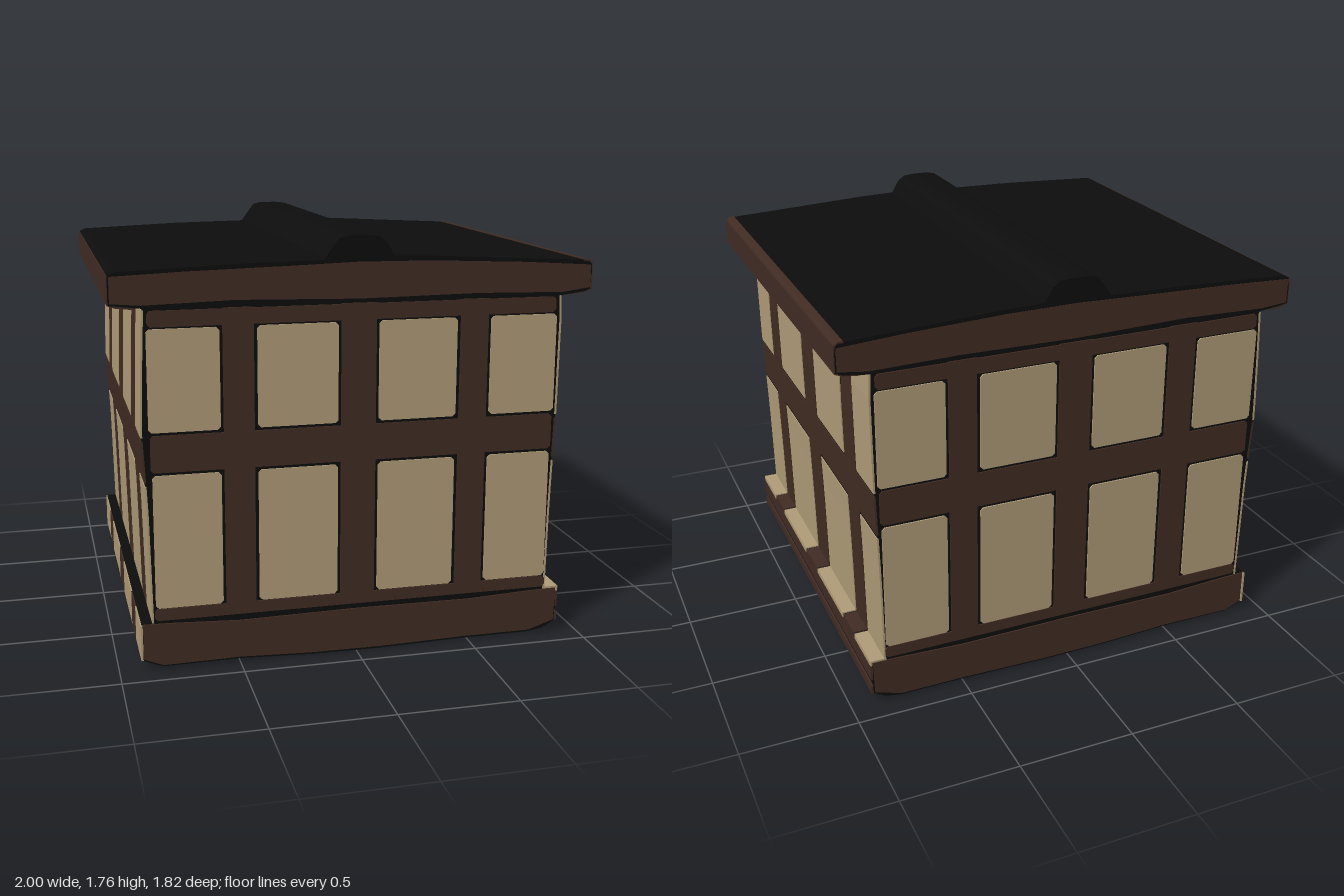
import * as THREE from 'three';

const HALF = 0.905; // half depth along z
const SKIN = 0.006; // thickness of painted plates

export function createModel() {
  const model = new THREE.Group();
  model.name = 'timberFramedHouse';

  const paint = (name, color) => {
    const m = new THREE.MeshStandardMaterial({ color });
    m.name = name;
    return m;
  };
  const ink = paint('inkBlack', 0x0d0d0d);
  const timber = paint('timberBrown', 0x412c23);
  const paper = paint('paperTan', 0xb09c78);

  // Extrude an outline (x, y points) between two z planes
  const slab = (name, pts, z0, z1, mat, parent = model) => {
    const shape = new THREE.Shape(pts.map(([x, y]) => new THREE.Vector2(x, y)));
    const geo = new THREE.ExtrudeGeometry(shape, { depth: z1 - z0, bevelEnabled: false });
    geo.translate(0, 0, z0);
    const mesh = new THREE.Mesh(geo, mat);
    mesh.name = name;
    parent.add(mesh);
    return mesh;
  };
  // Thin plate that follows a line of points, thickened by (dx, dy)
  const plate = (name, pts, dx, dy, z0, z1, mat, parent) =>
    slab(name, [...pts, ...pts.map(([x, y]) => [x + dx, y + dy]).reverse()], z0, z1, mat, parent);
  const rect = (x0, x1, y0, y1) => [[x0, y0], [x1, y0], [x1, y1], [x0, y1]];
  const rounded = (x0, x1, y0, y1, c = 0.012) => [
    [x0 + c, y0], [x1 - c, y0], [x1, y0 + c], [x1, y1 - c],
    [x1 - c, y1], [x0 + c, y1], [x0, y1 - c], [x0, y0 + c]];

  // Slightly bowed wall edges, as [x, y]
  const edges = {
    '1': [[0.85, 0.2], [0.856, 0.6], [0.868, 1], [0.872, 1.4], [0.865, 1.52]],
    '-1': [[-0.862, 0.2], [-0.872, 0.7], [-0.888, 1], [-0.878, 1.3], [-0.868, 1.52]],
  };
  const wallX = (s, y) => {
    const e = edges[s];
    let i = 0;
    while (i < e.length - 2 && y > e[i + 1][1]) i++;
    const t = (y - e[i][1]) / (e[i + 1][1] - e[i][1]);
    return e[i][0] + t * (e[i + 1][0] - e[i][0]);
  };

  // Black cores: base, walls, roof, ridge cap
  const core = HALF - SKIN;
  slab('base', [[-0.906, 0.045], [-0.82, 0.012], [-0.5, 0.015], [-0.2, 0.002], [0.1, 0], [0.5, 0.008],
    [0.78, 0.008], [0.85, 0.02], [0.901, 0.05], [0.906, 0.205], [0.7, 0.207], [0, 0.212], [-0.7, 0.207],
    [-0.906, 0.205]], -core, core, ink);
  const inset = (s) => edges[s].map(([x, y]) => [x - s * 0.004, y]);
  slab('walls', [...inset(1), ...inset(-1).reverse()], -core, core, ink);
  slab('roof', [[-0.996, 1.515], [-0.87, 1.5], [-0.5, 1.51], [0, 1.5], [0.5, 1.505], [0.87, 1.495],
    [0.97, 1.508], [0.996, 1.52], [0.996, 1.62], [0.98, 1.638], [0.7, 1.652], [0.3, 1.673], [0, 1.68],
    [-0.15, 1.668], [-0.5, 1.662], [-0.97, 1.643], [-0.996, 1.63]], -HALF, HALF, ink);
  slab('ridgeCap', [[-0.15, 1.64], [0.15, 1.64], [0.145, 1.675], [0.11, 1.735], [0.08, 1.757], [0.03, 1.762],
    [-0.05, 1.762], [-0.085, 1.753], [-0.11, 1.72], [-0.145, 1.672]], -HALF, HALF, ink);

  // Gable faces, front and back
  for (const [side, z0] of [['front', core], ['back', -HALF]]) {
    const g = new THREE.Group();
    g.name = side + 'Face';
    model.add(g);
    const z1 = z0 + SKIN;
    const add = (name, pts, mat) => slab(name, pts, z0, z1, mat, g);
    add('baseBoard', [[-0.9, 0.052], [-0.82, 0.02], [-0.5, 0.024], [-0.2, 0.012], [0.1, 0.01], [0.5, 0.018],
      [0.78, 0.018], [0.895, 0.055], [0.9, 0.203], [0.78, 0.2], [0.5, 0.188], [0, 0.192], [-0.5, 0.186],
      [-0.78, 0.2], [-0.9, 0.203]], timber);
    // Roof board stands a hair proud of the roof end
    const rz = side === 'front' ? HALF - 0.004 : -HALF - 0.002;
    slab('roofBoard', [[-0.99, 1.522], [-0.87, 1.512], [-0.5, 1.522], [0, 1.51], [0.5, 1.516], [0.87, 1.508],
      [0.99, 1.524], [0.99, 1.618], [0.7, 1.637], [0.3, 1.654], [0, 1.657], [-0.3, 1.648], [-0.7, 1.638],
      [-0.99, 1.626]], rz, rz + 0.006, timber, g);
    for (const [y0, y1] of [[0.215, 0.265], [0.84, 0.992], [1.425, 1.49]])
      add('beam', rounded(-0.85, 0.845, y0, y1), timber);
    for (const [x0, x1] of [[-0.555, -0.43], [-0.073, 0.073], [0.43, 0.55]])
      add('post', rect(x0, x1, 0.215, 1.493), timber);
    for (const [y0, y1, xo] of [[0.268, 0.828, 0.845], [1.004, 1.418, 0.855]])
      for (const [x0, x1] of [[-xo, -0.567], [-0.416, -0.085], [0.085, 0.416], [0.562, xo - 0.005]])
        add('panel', rounded(x0, x1, y0, y1), paper);
  }

  // Long side walls
  const end = HALF - 0.003;
  for (const s of [1, -1]) {
    const g = new THREE.Group();
    g.name = s > 0 ? 'leftSide' : 'rightSide';
    model.add(g);
    const posts = s > 0 ? [[-0.67, -0.52], [-0.1, 0.08], [0.51, 0.66]] : [[-0.63, -0.47], [-0.06, 0.13], [0.52, 0.68]];
    // Panel spans are the gaps between posts
    const cuts = [-end, ...posts.flatMap(([a, b]) => [a - 0.012, b + 0.012]), end];
    const spans = [0, 2, 4, 6].map((i) => [cuts[i], cuts[i + 1]]);
    const wall = (name, y0, y1, z0, z1, mat) => {
      const pts = Array.from({ length: 6 }, (_, i) => {
        const y = y0 + ((y1 - y0) * i) / 5;
        return [wallX(s, y), y];
      });
      plate(name, pts, -s * 0.008, 0, z0, z1, mat, g);
    };
    wall('sideBeam', 0.8, 0.974, -end, end, timber);
    for (const [a, b] of posts) wall('sidePost', 0.205, 1.497, a, b, timber);
    for (const [a, b] of spans) {
      wall('sidePanel', 0.205, 0.785, a, b, paper);
      wall('sidePanel', 0.987, 1.492, a, b, paper);
    }

    // Base edge
    const bx = s * 0.911;
    const strip = (name, y0, y1, z0, z1, mat) =>
      plate(name, [[bx, y0], [bx, y1]], -s * 0.009, 0, z0, z1, mat, g);
    if (s > 0) {
      strip('baseRail', 0.05, 0.09, -end, end, timber);
      strip('baseRail', 0.118, 0.188, -end, end, timber);
      for (const [a, b] of spans) {
        strip('baseLip', 0.188, 0.21, a, b, paper);
        plate('baseLipTop', [[0.84, 0.211], [bx, 0.211]], 0, -0.008, a, b, paper, g);
      }
      for (const [a, b] of posts) {
        strip('baseLip', 0.188, 0.21, a, b, timber);
        plate('baseLipTop', [[0.84, 0.211], [bx, 0.211]], 0, -0.008, a, b, timber, g);
      }
    } else {
      for (const [a, b] of spans) strip('basePanel', 0.048, 0.2, a - 0.006, b + 0.006, paper);
      for (const [a, b] of posts) strip('basePost', 0.048, 0.2, a - 0.006, b + 0.006, timber);
    }

    // Eave edge and underside
    plate('eaveEdge', [[s, 1.516], [s, 1.63]], -s * 0.009, 0, -HALF, HALF, timber, g);
    plate('eaveUnderside', [[s * 0.9, 1.496], [s * 0.97, 1.504], [s, 1.515]], 0, 0.009, -HALF, HALF, timber, g);
    if (s > 0)
      plate('eaveTop', [[0.96, 1.643], [0.982, 1.641], [1, 1.622]], -0.002, -0.008, -HALF, HALF, timber, g);
  }
  return model;
}
